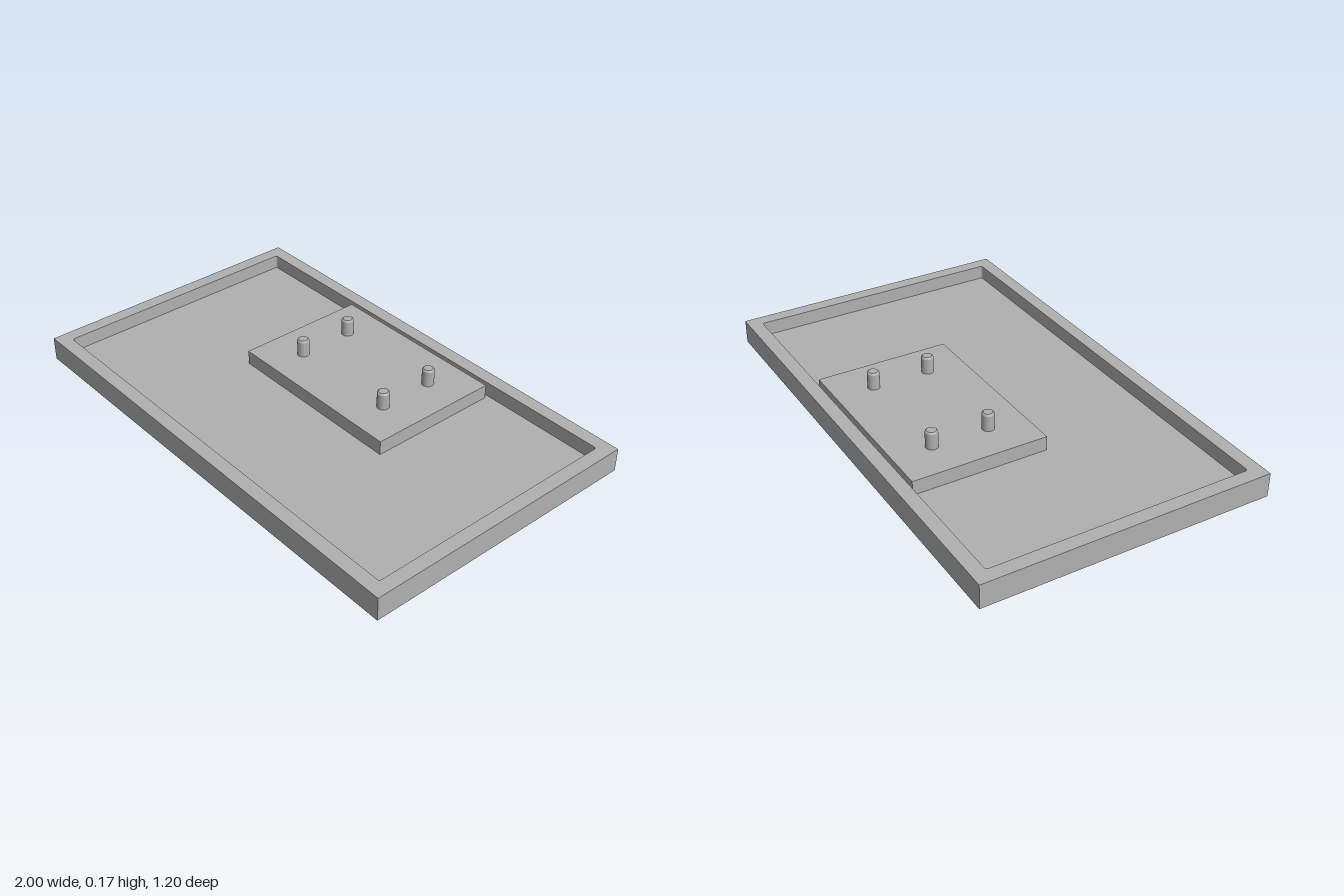
import * as THREE from 'three';

const HOLES = [[-0.24, -0.36], [0.24, -0.36], [-0.24, -0.12], [0.24, -0.12]];
const FLOOR = 0.04, RIM = 0.1;

// Rounded or square rectangle, drawn with y = -z so it can be laid flat
function rect(Target, w, d, r = 0) {
  const s = new Target(), x = w / 2, y = d / 2;
  if (!r) {
    s.moveTo(-x, -y); s.lineTo(x, -y); s.lineTo(x, y); s.lineTo(-x, y); s.closePath();
    return s;
  }
  s.absarc(x - r, y - r, r, 0, Math.PI / 2);
  s.absarc(-x + r, y - r, r, Math.PI / 2, Math.PI);
  s.absarc(-x + r, -y + r, r, Math.PI, Math.PI * 1.5);
  s.absarc(x - r, -y + r, r, Math.PI * 1.5, Math.PI * 2);
  s.closePath();
  return s;
}

// Extrudes a flat outline upwards from y0 to y1
function slab(shape, y0, y1) {
  const g = new THREE.ExtrudeGeometry(shape, { depth: y1 - y0, bevelEnabled: false, curveSegments: 24 });
  return g.rotateX(-Math.PI / 2).translate(0, y0, 0);
}

export function createModel() {
  const group = new THREE.Group();
  const grey = new THREE.MeshStandardMaterial({ color: 0xb0b0b0 });
  grey.name = 'grey';
  const add = (name, geometry, x = 0, z = 0) => {
    const m = new THREE.Mesh(geometry, grey);
    m.name = name;
    m.position.set(x, 0, z);
    group.add(m);
  };

  // Tray floor with counterbores for the screw heads
  const base = rect(THREE.Shape, 2, 1.2);
  for (const [x, z] of HOLES) base.holes.push(new THREE.Path().absarc(x, -z, 0.055, 0, Math.PI * 2, true));
  add('trayFloor', slab(base, 0, FLOOR));

  // Raised rim around the pocket
  const rim = rect(THREE.Shape, 2, 1.2);
  rim.holes.push(rect(THREE.Path, 1.886, 1.086, 0.01));
  add('trayRim', slab(rim, FLOOR, RIM));

  // Mounting block, level with the rim
  const block = new THREE.BoxGeometry(0.8, RIM - FLOOR, 0.565);
  add('mountingBlock', block.translate(0, (FLOOR + RIM) / 2, -0.2425));

  // Screws: recessed head below, shank standing out above
  const shank = new THREE.LatheGeometry([
    [0.025, FLOOR], [0.025, 0.165], [0.025, 0.165], [0.023, 0.17], [0.019, 0.173], [0.019, 0.173], [0, 0.173],
  ].map(p => new THREE.Vector2(...p)), 32);
  const head = new THREE.LatheGeometry([
    [0.015, 0.006], [0.036, 0.006], [0.036, 0.006], [0.042, 0.009], [0.045, 0.015], [0.045, 0.015], [0.045, FLOOR],
  ].map(p => new THREE.Vector2(...p)), 32);
  // Hexagonal socket, its walls facing inwards
  const socket = new THREE.LatheGeometry([
    [0, 0.025], [0.015, 0.025], [0.015, 0.025], [0.015, 0.006],
  ].map(p => new THREE.Vector2(...p)), 6).toNonIndexed();
  const a = socket.attributes.position.array;
  for (let i = 0; i < a.length; i += 9)
    for (let k = 0; k < 3; k++) [a[i + k], a[i + 3 + k]] = [a[i + 3 + k], a[i + k]];
  socket.computeVertexNormals();
  for (const [x, z] of HOLES) {
    add('screwShank', shank, x, z);
    add('screwHead', head, x, z);
    add('screwSocket', socket, x, z);
  }
  return group;
}
